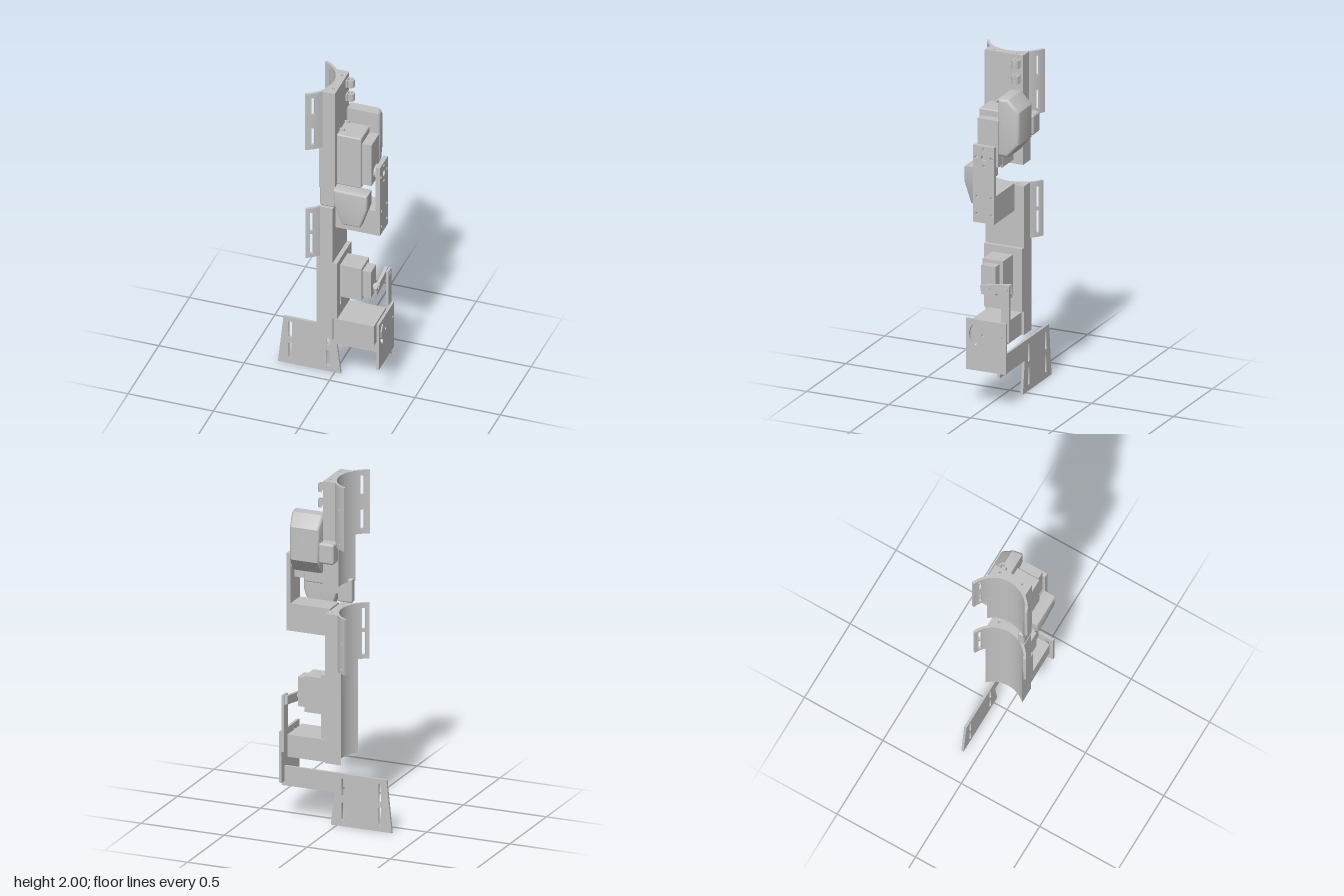
import * as THREE from 'three';
import { toCreasedNormals } from 'three/addons/utils/BufferGeometryUtils.js';
import { RoundedBoxGeometry } from 'three/addons/geometries/RoundedBoxGeometry.js';

export function createModel() {
  const model = new THREE.Group();
  const grey = new THREE.MeshStandardMaterial({ color: 0xc2c2c2 });
  grey.name = 'lightGrey';

  const add = (name, geo, parent = model) => {
    const mesh = new THREE.Mesh(geo, grey);
    mesh.name = name;
    parent.add(mesh);
    return mesh;
  };
  // Box given by its limits, optionally rounded
  const box = (name, [x0, x1], [y0, y1], [z0, z1], r = 0) => {
    const s = [x1 - x0, y1 - y0, z1 - z0];
    const geo = r ? new RoundedBoxGeometry(...s, 3, r) : new THREE.BoxGeometry(...s);
    return add(name, geo.translate((x0 + x1) / 2, (y0 + y1) / 2, (z0 + z1) / 2));
  };
  const poly = pts => new THREE.Shape(pts.map(p => new THREE.Vector2(...p)));
  const extrude = (shape, depth, bevel = 0) => toCreasedNormals(new THREE.ExtrudeGeometry(shape, {
    depth: depth - 2 * bevel, bevelEnabled: bevel > 0, bevelSize: bevel, bevelThickness: bevel,
    bevelOffset: -bevel, bevelSegments: 3, curveSegments: 20,
  }).translate(0, 0, bevel), 0.6);
  // Plan outline (x, -z) raised from y0 to y1
  const raise = (shape, y0, y1) => extrude(shape, y1 - y0).rotateX(-Math.PI / 2).translate(0, y0, 0);
  // Side outline (-z, y) pushed along +x from x0 to x1
  const sideways = (shape, x0, x1, bevel) =>
    extrude(shape, x1 - x0, bevel).rotateY(Math.PI / 2).translate(x0, 0, 0);
  const hole = (shape, x, y, r) => shape.holes.push(new THREE.Path().absarc(x, y, r, 0, Math.PI * 2, true));
  const slot = (shape, x, y0, y1, w) => {
    const p = new THREE.Path();
    p.absarc(x, y0 + w, w, Math.PI, Math.PI * 2, false);
    p.absarc(x, y1 - w, w, 0, Math.PI, false);
    shape.holes.push(p);
  };
  const arcShape = (cx, cy, r0, r1, a0, a1) => {
    const s = new THREE.Shape();
    s.absarc(cx, cy, r1, a0, a1, false);
    s.absarc(cx, cy, r0, a1, a0, true);
    return s;
  };

  // Arm cuff: a grooved body with slotted strap wings on both sides
  function cuff(name, cx, r, xOut, y0, y1, wingY, wingEnd, slots) {
    const g = new THREE.Group();
    g.name = name;
    model.add(g);
    const half = 0.117, a = Math.asin(half / r);
    const s = new THREE.Shape();
    s.moveTo(xOut, -half);
    s.lineTo(xOut, half);
    s.absarc(cx, 0, r, a, -a, true);
    for (const z of [-0.07, 0.07]) hole(s, xOut - 0.025, z, 0.007);
    add('cuffBody', raise(s, y0, y1), g);
    const rad = Math.PI / 180, ro = r + 0.015;
    const edges = [wingY, ...slots.flat(), y1];
    for (const side of [1, -1]) {
      const strip = (d0, d1, b0, b1) => {
        const [p, q] = side > 0 ? [d0, d1] : [-d1, -d0];
        add('strapWing', raise(arcShape(cx, 0, r, ro, p * rad, q * rad), b0, b1), g);
      };
      strip(38, 51.5, wingY, y1);
      strip(57.5, wingEnd, wingY, y1);
      for (let i = 0; i < edges.length; i += 2) strip(51.5, 57.5, edges[i], edges[i + 1]);
    }
  }
  cuff('upperCuff', -0.15, 0.175, 0.073, 1.36, 2, 1.63, 68.5, [[1.66, 1.77], [1.86, 1.97]]);
  cuff('lowerCuff', -0.158, 0.17, 0.06, 0.36, 1.23, 0.905, 65, [[0.93, 1.06], [1.08, 1.2]]);

  // Cable clips near the top
  for (const y of [1.84, 1.93]) {
    add('cableClip', raise(arcShape(0.095, 0.082, 0.013, 0.022, -2.6, 2.0), y, y + 0.045));
    box('clipFoot', [0.07, 0.08], [y, y + 0.045], [-0.104, -0.06]);
  }
  // Small ribs above the elbow drive
  for (const z of [-0.045, 0.035]) box('mountRib', [0.07, 0.1], [1.67, 1.72], [z - 0.006, z + 0.006]);

  // Small rounded housings beside the upper cuff
  box('rearPod', [-0.016, 0.075], [1.54, 1.66], [-0.18, -0.1], 0.014);
  box('frontPod', [-0.016, 0.072], [1.24, 1.38], [0.075, 0.117], 0.01);

  // Elbow drive
  box('elbowDriveCase', [0.07, 0.215], [1.38, 1.71], [-0.06, 0.085], 0.008);
  box('elbowDriveRail', [0.2, 0.27], [1.4, 1.67], [-0.058, 0.068]);
  add('elbowShaft', new THREE.CylinderGeometry(0.04, 0.04, 0.04, 32)
    .rotateZ(Math.PI / 2).translate(0.28, 1.46, 0));

  // Rear cover with chamfered back, narrowing outward
  const rear = sideways(poly([[0.055, 1.47], [0.11, 1.46], [0.176, 1.54], [0.176, 1.73], [0.115, 1.8], [0.055, 1.8]]),
    0.075, 0.275, 0.018);
  const rp = rear.attributes.position;
  for (let i = 0; i < rp.count; i++) {
    const t = (-rp.getZ(i) - 0.055) / 0.12;
    rp.setX(i, 0.075 + (rp.getX(i) - 0.075) * (1 - 0.12 * t));
  }
  add('rearCover', rear);

  // Front cover with tapered lower end, thinner toward the bottom
  const front = extrude(poly([[0.075, 1.29], [0.12, 1.15], [0.225, 1.15], [0.273, 1.29], [0.273, 1.38], [0.075, 1.38]]),
    0.083, 0.012).translate(0, 0, 0.067);
  const fp = front.attributes.position;
  for (let i = 0; i < fp.count; i++) {
    const t = Math.max(0, 1.29 - fp.getY(i)) / 0.14;
    fp.setZ(i, 0.067 + (fp.getZ(i) - 0.067) * (1 - 0.22 * t));
  }
  add('frontCover', front);

  // Elbow bracket: drilled outer plate and a hollow foot
  const plate = poly([[-0.07, 1.08], [0.058, 1.08], [0.058, 1.53], [-0.07, 1.53]]);
  hole(plate, -0.005, 1.46, 0.018);
  for (const [z, y] of [[-0.052, 1.46], [0.042, 1.46], [-0.005, 1.51], [-0.005, 1.41],
    [-0.047, 1.23], [0.042, 1.23], [-0.047, 1.13], [0.042, 1.13]]) hole(plate, z, y, 0.009);
  add('elbowPlate', sideways(plate, 0.295, 0.32));
  const foot = poly([[0.058, -0.07], [0.3, -0.07], [0.3, 0.058], [0.058, 0.058]]);
  foot.holes.push(poly([[0.13, -0.03], [0.13, 0.02], [0.27, 0.02], [0.27, -0.03]]));
  add('elbowFoot', raise(foot, 1.08, 1.24));
  box('elbowFootLid', [0.1, 0.29], [1.22, 1.239], [-0.05, 0.06]);

  // Wrist drive on a slotted mounting plate
  const mount = poly([[-0.117, 0.5], [0.117, 0.5], [0.117, 0.87], [-0.117, 0.87]]);
  for (const z of [-0.06, 0.055]) slot(mount, z, 0.565, 0.615, 0.009);
  add('wristMount', sideways(mount, 0.058, 0.085));
  box('wristDriveCase', [0.08, 0.21], [0.62, 0.83], [-0.06, 0.065]);
  box('wristDriveNose', [0.2, 0.26], [0.64, 0.81], [-0.037, 0.05]);
  add('wristShaft', new THREE.CylinderGeometry(0.018, 0.018, 0.04, 20)
    .rotateZ(Math.PI / 2).translate(0.275, 0.69, 0));
  add('wristHorn', new THREE.BoxGeometry(0.018, 0.05, 0.19)
    .rotateX(0.16).translate(0.282, 0.692, -0.055));
  add('hornPin', new THREE.CylinderGeometry(0.012, 0.012, 0.04, 16)
    .rotateZ(Math.PI / 2).translate(0.294, 0.705, -0.122));
  box('pushRod', [0.295, 0.31], [0.4, 0.73], [-0.145, -0.095]);

  // Wrist block and its outer plate with a curved slot
  box('wristBlock', [0.055, 0.295], [0.36, 0.49], [-0.1, 0.1]);
  add('wristPivot', new THREE.CylinderGeometry(0.03, 0.03, 0.03, 24)
    .rotateZ(Math.PI / 2).translate(0.303, 0.425, 0));
  const outer = poly([[-0.11, 0.215], [0.135, 0.215], [0.135, 0.513], [-0.11, 0.513]]);
  hole(outer, -0.005, 0.425, 0.01);
  hole(outer, 0.115, 0.425, 0.008);
  outer.holes.push(arcShape(-0.005, 0.425, 0.062, 0.085, 2.2, 4.1));
  add('wristPlate', sideways(outer, 0.314, 0.329));

  // Hand plate with four strap slots
  const hand = poly([[-0.332, 0], [0.035, 0], [0.012, 0.19], [0.327, 0.19], [0.327, 0.305], [-0.3, 0.305]]);
  for (const x of [-0.26, -0.04]) {
    slot(hand, x, 0.035, 0.14, 0.009);
    slot(hand, x, 0.17, 0.28, 0.009);
  }
  add('handPlate', extrude(hand, 0.015).translate(0, 0, -0.098));

  return model;
}
